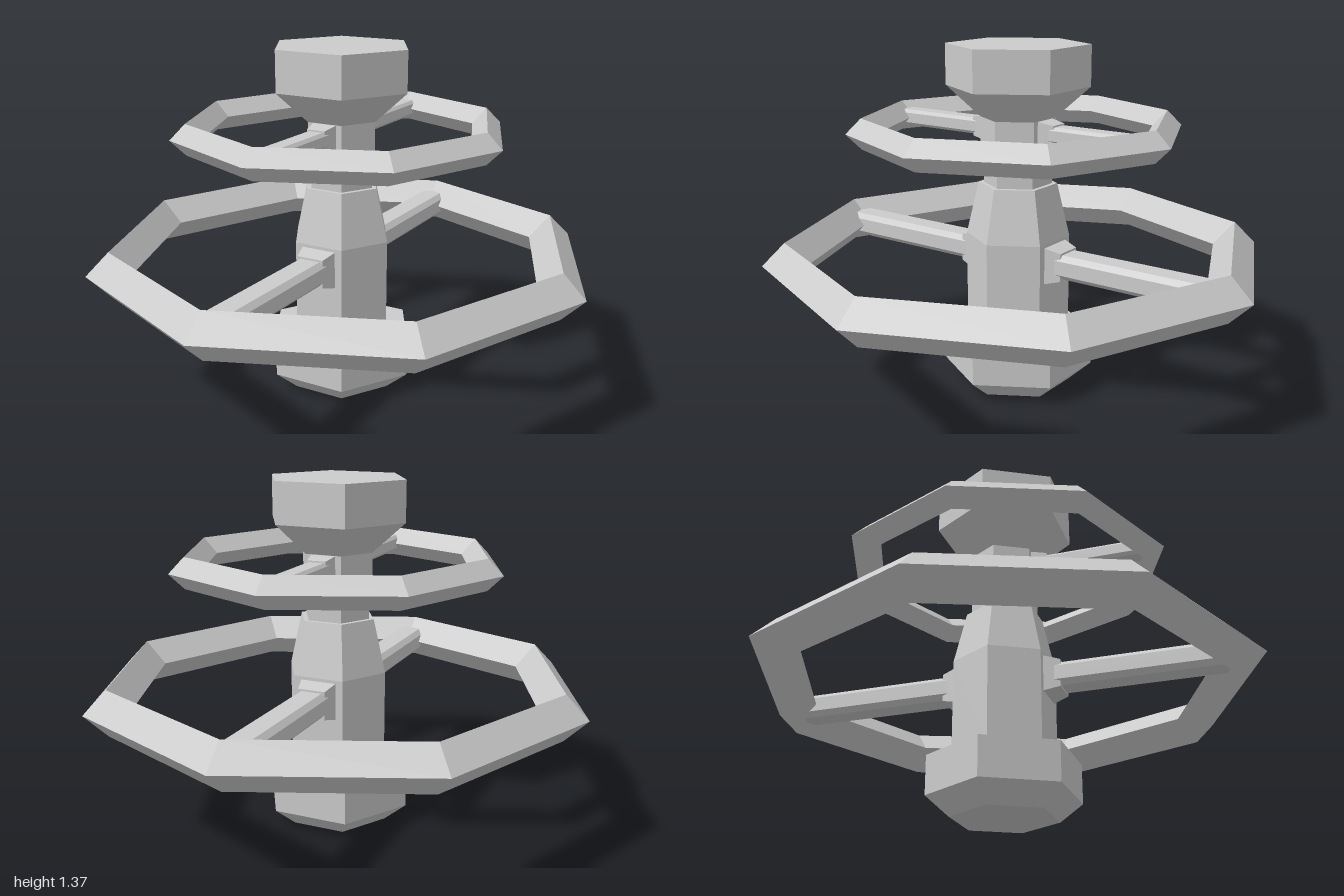
import * as THREE from 'three';

const material = new THREE.MeshStandardMaterial({ color: 0xcccccc, flatShading: true });

function add(parent, name, geometry) {
  const mesh = new THREE.Mesh(geometry, material);
  mesh.name = name;
  parent.add(mesh);
  return mesh;
}

// Faceted solid of revolution from [radius, height] pairs
function turned(points, sides, start = 0) {
  return new THREE.LatheGeometry(points.map(([r, y]) => new THREE.Vector2(r, y)), sides, start);
}

// Octagonal ring with a diamond cross-section
function ringGeometry(radius, half) {
  return turned([
    [radius - half, -half], [radius, 0], [radius - half, half],
    [radius - 2 * half, 0], [radius - half, -half],
  ], 8);
}

// Beam along +z with chamfered long edges
function spokeGeometry(w, h, c, length) {
  const shape = new THREE.Shape([
    [w, -h + c], [w, h - c], [w - c, h], [-w + c, h],
    [-w, h - c], [-w, -h + c], [-w + c, -h], [w - c, -h],
  ].map(([x, y]) => new THREE.Vector2(x, y)));
  return new THREE.ExtrudeGeometry(shape, { depth: length, bevelEnabled: false });
}

// Square flare where a spoke meets the hull, from z0 (wide) to z1 (narrow)
function filletGeometry(wide, narrow, z0, z1) {
  const g = new THREE.CylinderGeometry(narrow * Math.SQRT2, wide * Math.SQRT2, z1 - z0, 4);
  g.rotateY(Math.PI / 4);
  g.rotateX(Math.PI / 2);
  g.translate(0, 0, (z0 + z1) / 2);
  return g;
}

export function createModel() {
  const model = new THREE.Group();
  model.name = 'spaceStation';

  // Six-sided central hull, corners on the x axis
  add(model, 'hull', turned([
    [0, 0], [0.21, 0], [0.3, 0.075], [0.3, 0.23], [0.205, 0.23],
    [0.205, 0.62], [0.155, 0.83], [0.135, 0.83], [0.135, 0.9],
    [0.147, 0.9], [0.147, 1.09], [0.28, 1.21], [0.28, 1.37], [0, 1.37],
  ], 6, Math.PI / 2));

  // Two ring decks, each carried by a front and a back spoke
  const decks = [
    { name: 'lowerDeck', y: 0.535, radius: 1, half: 0.09, w: 0.062, h: 0.048, c: 0.02, root: 0.17 },
    { name: 'upperDeck', y: 1.04, radius: 0.66, half: 0.06, w: 0.042, h: 0.032, c: 0.012, root: 0.12 },
  ];
  for (const d of decks) {
    const deck = new THREE.Group();
    deck.name = d.name;
    deck.position.y = d.y;
    model.add(deck);
    add(deck, 'ring', ringGeometry(d.radius, d.half));
    for (const [side, angle] of [['front', 0], ['back', Math.PI]]) {
      const length = d.radius - d.half - 0.01;
      add(deck, side + 'Spoke', spokeGeometry(d.w, d.h, d.c, length)).rotation.y = angle;
      add(deck, side + 'SpokeRoot', filletGeometry(d.w * 1.2, d.w * 0.9, d.root, d.root + 0.07)).rotation.y = angle;
    }
  }
  return model;
}
